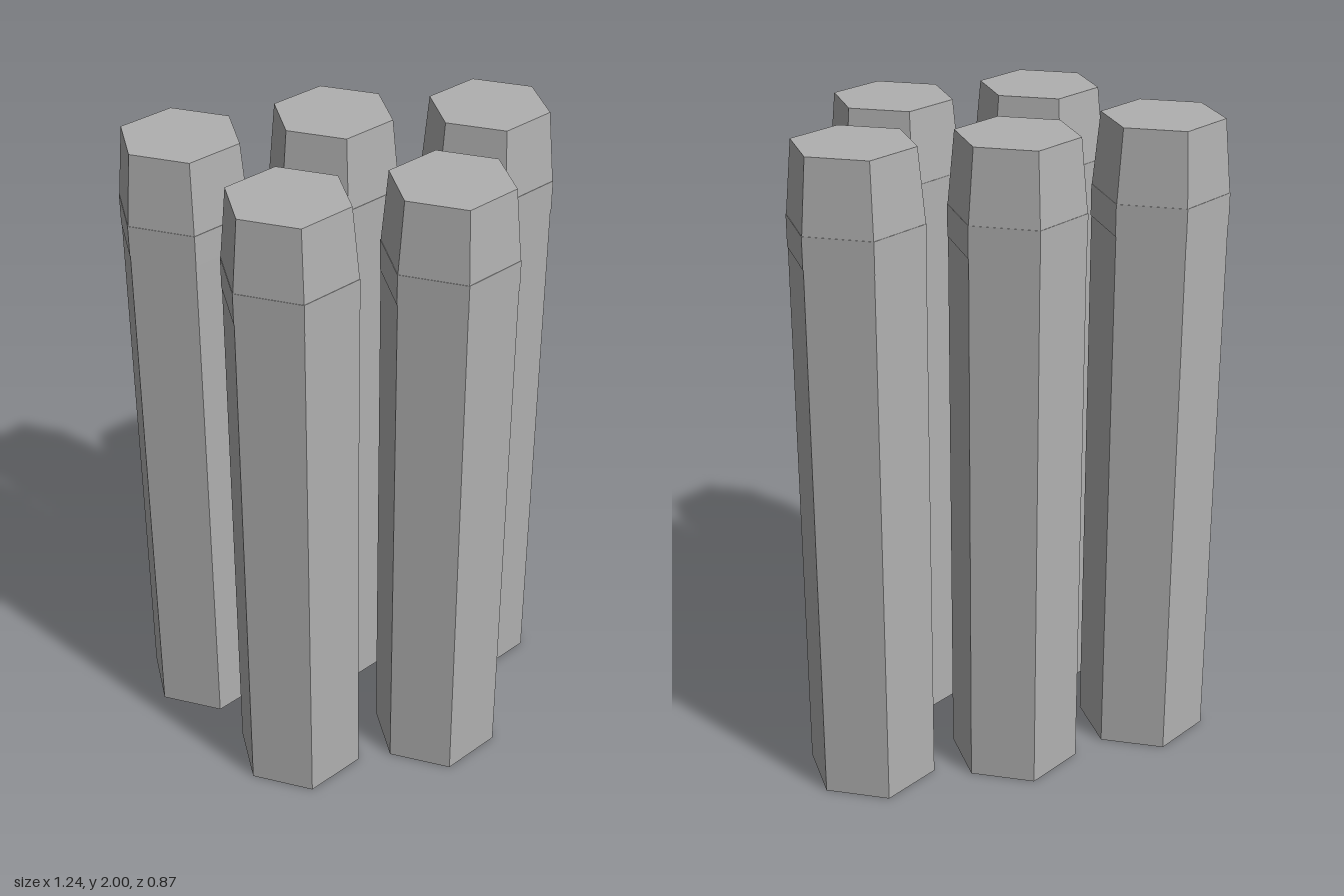
import * as THREE from 'three';

export function createModel() {
  const model = new THREE.Group();
  model.name = 'hexColumns';
  const grey = new THREE.MeshStandardMaterial({ color: 0xb0b0b0, flatShading: true });
  grey.name = 'grey';

  // six-sided prism or frustum between two heights, corners pointing along z
  const hex = (name, topRadius, baseRadius, y0, y1) => {
    const geometry = new THREE.CylinderGeometry(topRadius, baseRadius, y1 - y0, 6);
    geometry.translate(0, (y0 + y1) / 2, 0);
    const mesh = new THREE.Mesh(geometry, grey);
    mesh.name = name;
    return mesh;
  };

  // three columns behind, two in front
  const places = [[0, -0.237], [-0.448, -0.187], [0.448, -0.187], [-0.224, 0.237], [0.224, 0.237]];
  for (const [x, z] of places) {
    const column = new THREE.Group();
    column.name = 'column';
    column.add(
      hex('shaft', 0.198, 0.198, 0, 1.74),
      hex('collar', 0.2, 0.2, 1.69, 1.785),
      hex('taperedTip', 0.178, 0.199, 1.78, 2)
    );
    column.position.set(x, 0, z);
    model.add(column);
  }
  return model;
}
